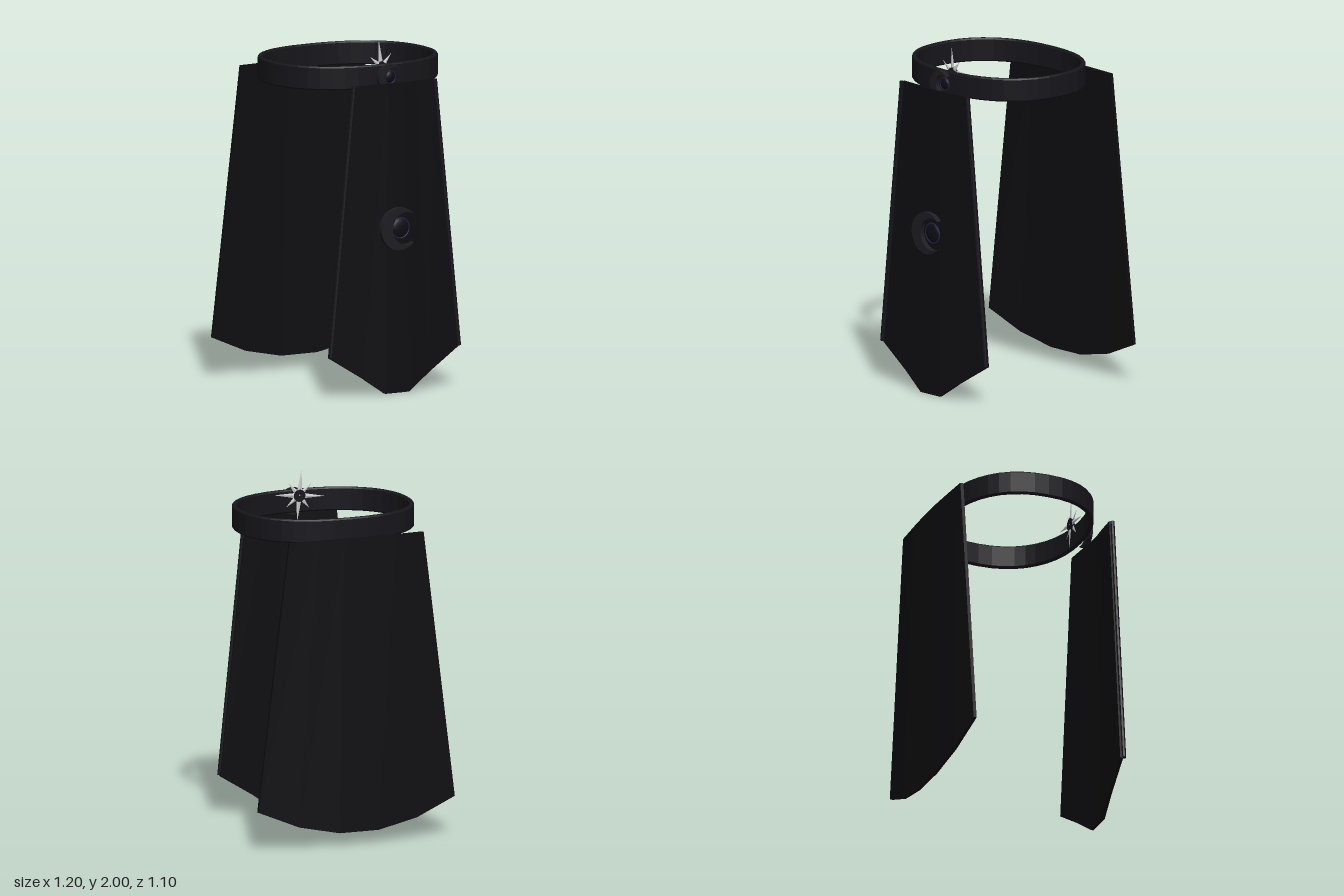
import * as THREE from 'three';

const mat = (color, flat = true) => {
  const m = new THREE.MeshStandardMaterial({ color });
  m.flatShading = flat;
  return m;
};
const cloth = mat(0x0f0f12);
const leather = mat(0x17171c);
const trimMat = mat(0x15151a);
const moonMat = mat(0x1e1e23);
const gemMat = mat(0x0e0e16, false);
const rimMat = mat(0x25254a, false);
const steel = mat(0xcccccc);

function add(parent, name, geometry, material, x = 0, y = 0, z = 0) {
  const mesh = new THREE.Mesh(geometry, material);
  mesh.name = name;
  mesh.position.set(x, y, z);
  parent.add(mesh);
  return mesh;
}

// Folded cloth slab. Each column: [topX, topZ, bottomX, bottomY, bottomZ] for x > 0, mirrored.
function panelGeometry(half, topY, thick) {
  const mirrored = half.map(([a, b, c, d, e]) => [-a, b, -c, d, e]);
  const cols = [...mirrored, ...half.slice().reverse()];
  const pos = [];
  const corners = ([tx, tz, bx, by, bz]) => [
    [bx, by, bz + thick / 2], [tx, topY, tz + thick / 2],
    [tx, topY, tz - thick / 2], [bx, by, bz - thick / 2],
  ];
  const quad = (a, b, c, d) => pos.push(...a, ...b, ...c, ...a, ...c, ...d);
  const sections = cols.map(corners);
  for (let i = 0; i < sections.length - 1; i++) {
    const p = sections[i], q = sections[i + 1];
    for (let k = 0; k < 4; k++) {
      const n = (k + 1) % 4;
      quad(p[k], q[k], q[n], p[n]);
    }
  }
  const first = sections[0], last = sections[sections.length - 1];
  quad(first[0], first[1], first[2], first[3]);
  quad(last[3], last[2], last[1], last[0]);
  const g = new THREE.BufferGeometry();
  g.setAttribute('position', new THREE.Float32BufferAttribute(pos, 3));
  g.computeVertexNormals();
  return g;
}

// Rounded oval outline
function oval(rx, rz, count = 40) {
  const pts = [];
  const f = (v) => Math.sign(v) * Math.pow(Math.abs(v), 2 / 2.3);
  for (let i = 0; i < count; i++) {
    const a = (i / count) * Math.PI * 2;
    pts.push(new THREE.Vector2(rx * f(Math.cos(a)), rz * f(Math.sin(a))));
  }
  return pts;
}

function createBelt() {
  const shape = new THREE.Shape(oval(0.51, 0.42));
  shape.holes.push(new THREE.Path(oval(0.495, 0.405).reverse()));
  const g = new THREE.ExtrudeGeometry(shape, {
    depth: 0.118, bevelEnabled: true, bevelSize: 0.006, bevelThickness: 0.008, bevelSegments: 1,
  });
  g.rotateX(-Math.PI / 2);
  return g;
}

// Crescent open towards +x, holding a round gem in a thin rim
function createMoon(name) {
  const group = new THREE.Group();
  group.name = name;
  const R = 0.122, c = 0.043, r = 0.093;
  const hornOut = Math.atan2(0.082, 0.09), hornIn = Math.atan2(0.082, 0.09 - c);
  const shape = new THREE.Shape();
  shape.absarc(0, 0, R, hornOut, Math.PI * 2 - hornOut, false);
  shape.absarc(c, 0, r, -hornIn, hornIn, true);
  const g = new THREE.ExtrudeGeometry(shape, { depth: 0.03, bevelEnabled: false, curveSegments: 24 });
  add(group, 'crescent', g, moonMat);
  const gem = add(group, 'gem', new THREE.SphereGeometry(0.055, 24, 12), gemMat, 0.02, 0, -0.003);
  gem.scale.z = 0.3;
  add(group, 'gemRim', new THREE.TorusGeometry(0.057, 0.004, 6, 32), rimMat, 0.02, 0, 0);
  return group;
}

// Eight-pointed star with alternating spike lengths
function createStar() {
  const star = new THREE.Group();
  star.name = 'star';
  for (let i = 0; i < 8; i++) {
    const len = i % 2 ? 0.1 : 0.155;
    const g = new THREE.ConeGeometry(0.018, len, 4);
    g.translate(0, len / 2, 0);
    g.scale(1, 1, 0.35);
    const spike = add(star, 'starSpike', g, steel, 0, 0, i % 2 ? 0.008 : 0);
    spike.rotation.z = (i * Math.PI) / 4;
  }
  const hub = new THREE.CylinderGeometry(0.03, 0.036, 0.02, 12);
  hub.rotateX(Math.PI / 2);
  add(star, 'starHub', hub, leather, 0, 0, 0.004);
  add(star, 'starGem', new THREE.OctahedronGeometry(0.013), rimMat, 0, 0, 0.022);
  star.rotation.z = 0.09;
  return star;
}

export function createModel() {
  const model = new THREE.Group();
  model.name = 'beltWithCloths';

  add(model, 'belt', createBelt(), leather, 0, 1.746, -0.01);

  add(model, 'frontCloth', panelGeometry([
    [0.27, 0.475, 0.43, 0.23, 0.475],
    [0.14, 0.482, 0.22, 0.1, 0.495],
    [0.05, 0.49, 0.08, 0.003, 0.511],
  ], 1.772, 0.018), cloth);

  add(model, 'backCloth', panelGeometry([
    [0.41, -0.5, 0.6, 0.23, -0.5],
    [0.24, -0.509, 0.36, 0.13, -0.522],
    [0.08, -0.515, 0.12, 0.08, -0.537],
  ], 1.772, 0.019), cloth);

  // Piping along the front cloth's side edges
  for (const side of [-1, 1]) {
    const path = new THREE.LineCurve3(
      new THREE.Vector3(side * 0.27, 1.772, 0.486), new THREE.Vector3(side * 0.428, 0.235, 0.49));
    const dir = path.v2.clone().sub(path.v1);
    const trim = add(model, side > 0 ? 'leftPiping' : 'rightPiping',
      new THREE.CylinderGeometry(0.013, 0.013, dir.length(), 8), trimMat);
    trim.position.copy(path.getPoint(0.5));
    trim.quaternion.setFromUnitVectors(new THREE.Vector3(0, 1, 0), dir.normalize());
  }

  const emblem = createMoon('clothEmblem');
  emblem.position.set(0, 0.945, 0.52);
  model.add(emblem);

  const buckle = createMoon('buckle');
  buckle.scale.set(0.63, 0.63, 1);
  buckle.position.set(0, 1.797, 0.42);
  model.add(buckle);

  const star = createStar();
  star.position.set(0, 1.845, 0.343);
  model.add(star);

  return model;
}
